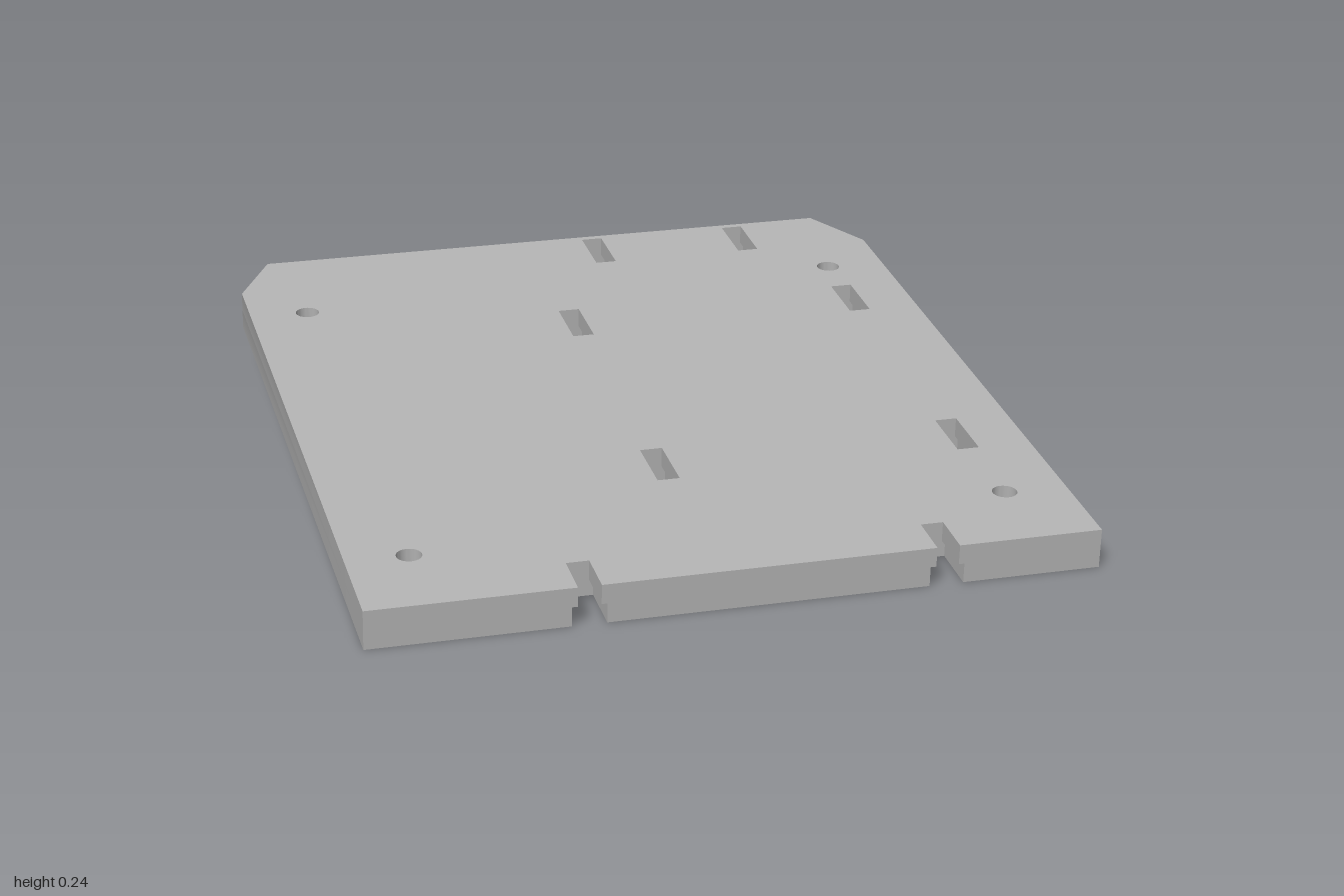
import * as THREE from 'three';
import { toCreasedNormals } from 'three/addons/utils/BufferGeometryUtils.js';

const TILT = THREE.MathUtils.degToRad(4);
const HALF = 0.05;        // half of the plate thickness
const LEDGE = 0;          // height where the slots widen
const LIP = 0.014;        // extra width of the slots underneath
const FRONT = 0.999, W = 0.89;
const local = z => (z - 0.0035) / Math.cos(TILT);
const V = (x, z) => new THREE.Vector2(x, -z);

// Counter-clockwise loops, seen from above
const rect = (x0, x1, z0, z1) => [V(x0, z1), V(x1, z1), V(x1, z0), V(x0, z0)];
const circle = (x, z, r, n = 32) => Array.from({ length: n }, (_, i) =>
  V(x + r * Math.cos(i / n * Math.PI * 2), z - r * Math.sin(i / n * Math.PI * 2)));

// Band of faces between two matching loops; inward = wall of a hole
function wall(low, high, y0, y1, inward = false) {
  const pos = [], index = [], n = low.length;
  low.forEach((p, i) => pos.push(p.x, y0, -p.y, high[i].x, y1, -high[i].y));
  for (let i = 0; i < n; i++) {
    const a = 2 * i, b = 2 * ((i + 1) % n);
    index.push(a, b, b + 1, a, b + 1, a + 1);
  }
  if (inward) index.reverse();
  const g = new THREE.BufferGeometry();
  g.setAttribute('position', new THREE.Float32BufferAttribute(pos, 3));
  g.setIndex(index);
  return toCreasedNormals(g, 0.5);
}

// Flat face with openings, facing up or down
function cap(outline, holes, y, down = false) {
  const shape = new THREE.Shape(outline);
  shape.holes = holes.map(h => new THREE.Path(h));
  const g = new THREE.ShapeGeometry(shape).rotateX(-Math.PI / 2).translate(0, y, 0);
  if (down) g.setIndex(Array.from(g.index.array).reverse());
  g.computeVertexNormals();
  return g;
}

export function createModel() {
  const model = new THREE.Group();
  const plate = new THREE.Group();
  plate.name = 'tiltedPlate';
  plate.rotation.x = TILT;
  plate.position.y = 0.1196;
  model.add(plate);

  const grey = new THREE.MeshStandardMaterial({ color: 0xb4b4b4 });
  grey.name = 'plain grey';
  const add = (name, geometry) => {
    const mesh = new THREE.Mesh(geometry, grey);
    mesh.name = name;
    plate.add(mesh);
  };

  // Closed slots: centre x and rear z
  const slots = [[0.134, -0.975], [0.547, -0.975], [-0.046, -0.51], [0.727, -0.51],
    [-0.046, 0.352], [0.727, 0.352]];
  const slotLoop = ([x, z], e) =>
    rect(x - 0.028 - e, x + 0.028 + e, local(z) - e, local(z + 0.168) + e);
  const screws = [[-0.737, -0.645], [0.733, -0.645], [-0.737, 0.762], [0.733, 0.762]];
  const screwLoop = ([x, z], r) => circle(x, local(z), r);

  // Outline with two notches open to the front
  const notches = [-0.363, 0.505], notchEnd = local(0.88);
  const outline = e => {
    const pts = [V(-W, FRONT)];
    for (const x of notches) {
      const w = 0.028 + e;
      pts.push(V(x - w, FRONT), V(x - w, notchEnd - e), V(x + w, notchEnd - e), V(x + w, FRONT));
    }
    pts.push(V(W, FRONT), V(W, local(-0.805)), V(0.79, -FRONT), V(-0.79, -FRONT), V(-W, local(-0.805)));
    return pts;
  };

  // Top, bottom and outer edges
  const narrow = outline(0), wide = outline(LIP);
  add('topFace', cap(narrow, [...slots.map(s => slotLoop(s, 0)),
    ...screws.map(s => screwLoop(s, 0.031))], HALF));
  add('bottomFace', cap(wide, [...slots.map(s => slotLoop(s, LIP)),
    ...screws.map(s => screwLoop(s, 0.05))], -HALF, true));
  add('upperEdge', wall(narrow, narrow, LEDGE, HALF));
  add('lowerEdge', wall(wide, wide, -HALF, LEDGE));

  // Stepped walls of the closed slots
  for (const s of slots) {
    const a = slotLoop(s, 0), b = slotLoop(s, LIP);
    add('slotUpperWall', wall(a, a, LEDGE, HALF, true));
    add('slotLowerWall', wall(b, b, -HALF, LEDGE, true));
    add('slotLedge', cap(b, [a], LEDGE, true));
  }

  // Ledges of the front notches
  for (const x of notches) {
    const n = 0.028, w = n + LIP;
    add('notchLedge', cap([V(x - w, FRONT), V(x - n, FRONT), V(x - n, notchEnd), V(x + n, notchEnd),
      V(x + n, FRONT), V(x + w, FRONT), V(x + w, notchEnd - LIP), V(x - w, notchEnd - LIP)],
    [], LEDGE, true));
  }

  // Round screw holes, countersunk from below
  for (const s of screws) {
    const a = screwLoop(s, 0.031), b = screwLoop(s, 0.05);
    add('screwHole', wall(a, a, -0.01, HALF, true));
    add('countersink', wall(b, a, -HALF, -0.01, true));
  }
  return model;
}
